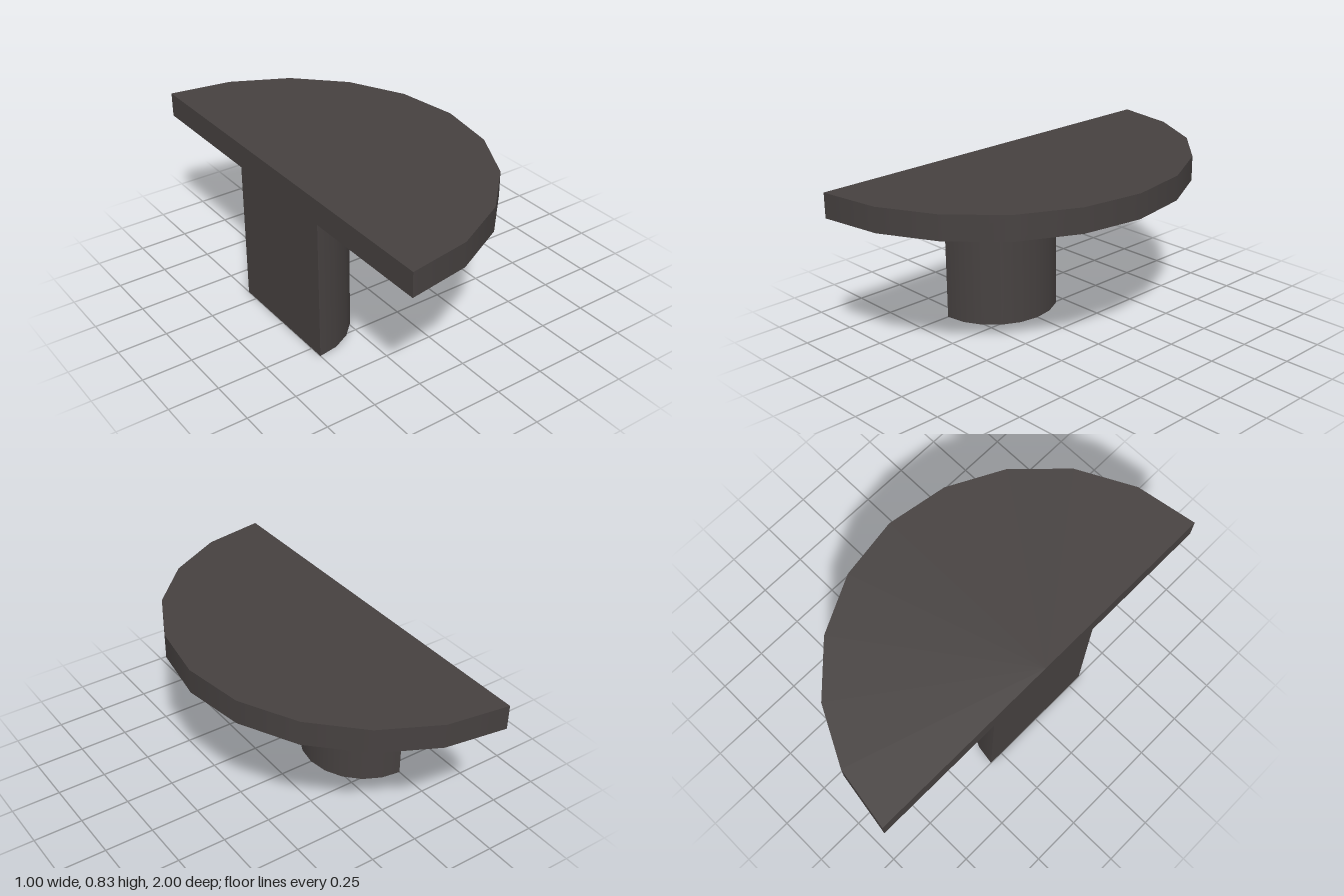
import * as THREE from 'three';

const SEGMENTS = 10;
const BACK_X = -0.5;

// Half cylinder bulging toward +x, closed by a flat back on the x = BACK_X plane
function halfCylinder(name, radius, y0, y1, material) {
  const part = new THREE.Group();
  part.name = name;
  const height = y1 - y0;

  const curved = new THREE.Mesh(
    new THREE.CylinderGeometry(radius, radius, height, SEGMENTS, 1, false, 0, Math.PI),
    material
  );
  curved.name = name + 'Round';

  const back = new THREE.Mesh(new THREE.PlaneGeometry(radius * 2, height), material);
  back.name = name + 'Back';
  back.rotation.y = -Math.PI / 2;

  part.add(curved, back);
  part.position.set(BACK_X, (y0 + y1) / 2, 0);
  return part;
}

export function createModel() {
  const model = new THREE.Group();
  model.name = 'halfRoundTable';
  const charcoal = new THREE.MeshStandardMaterial({ color: 0x464140 });
  charcoal.name = 'charcoal';

  model.add(
    halfCylinder('tableTop', 1, 0.712, 0.835, charcoal),
    halfCylinder('pedestal', 0.322, 0, 0.712, charcoal)
  );
  return model;
}
